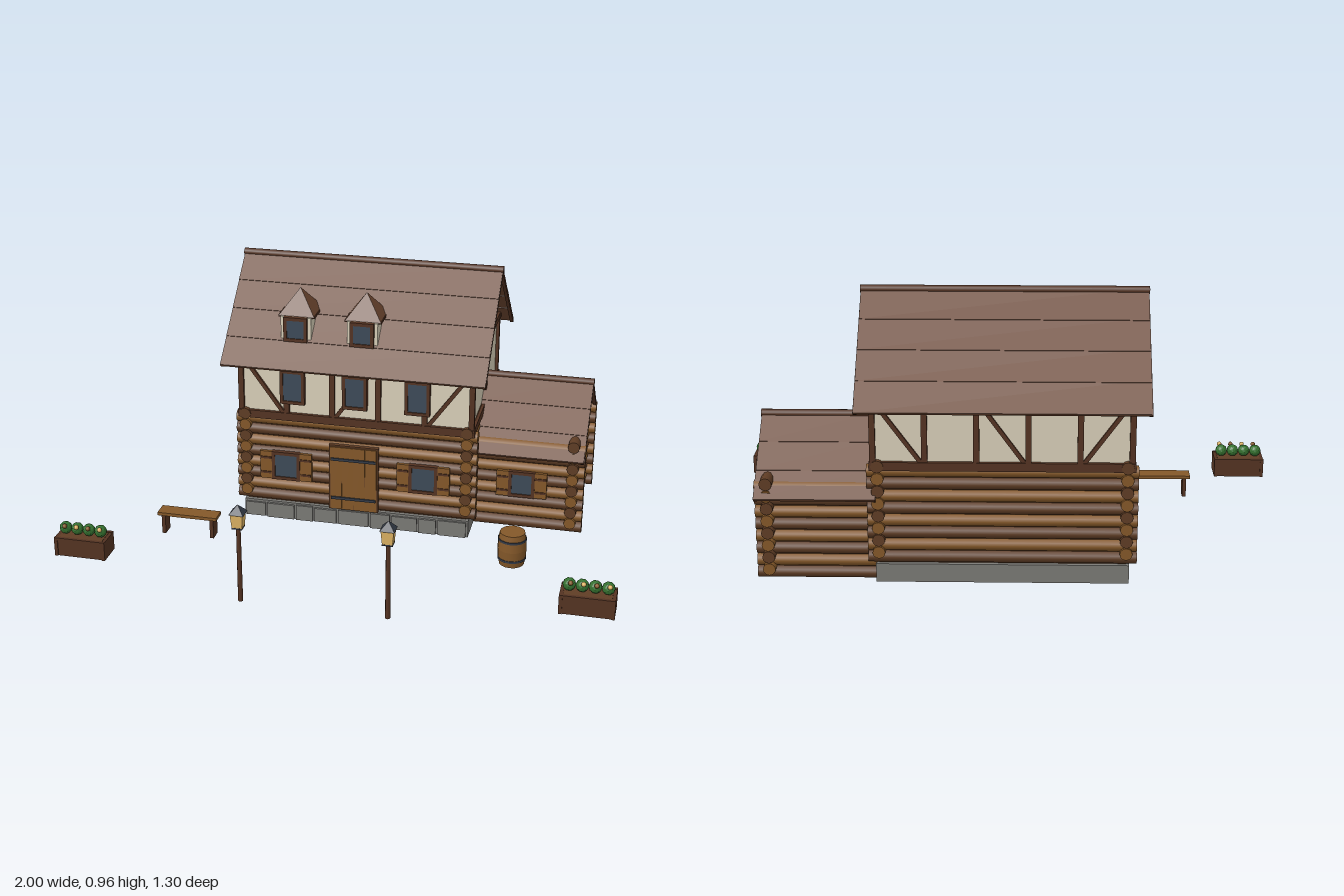
import * as THREE from 'three';

const mat = (name, color, extra = {}) => Object.assign(new THREE.MeshStandardMaterial({ color, ...extra }), { name });
const roofWood = mat('roofWood', 0x6b452f);
const timber = mat('timber', 0x543322);
const logWood = mat('logWood', 0x845829);
const darkLog = mat('darkLog', 0x5f3d25);
const plaster = mat('plaster', 0xd9d0b9);
const stone = mat('stone', 0x7b7a76);
const glass = mat('glass', 0x3d4a58);
const iron = mat('iron', 0x333a46);
const lampGlow = mat('lampGlow', 0xe0b565);
const leaf = mat('leaf', 0x34702f, { flatShading: true });

function add(parent, name, geo, material, x = 0, y = 0, z = 0) {
  const m = new THREE.Mesh(geo, material);
  m.name = name;
  m.position.set(x, y, z);
  parent.add(m);
  return m;
}
const box = (p, name, material, w, h, d, x, y, z) =>
  add(p, name, new THREE.BoxGeometry(w, h, d), material, x, y, z);
const cyl = (p, name, material, rTop, rBot, h, x, y, z, sides = 12) =>
  add(p, name, new THREE.CylinderGeometry(rTop, rBot, h, sides), material, x, y, z);
function group(parent, name, x = 0, y = 0, z = 0) {
  const g = new THREE.Group();
  g.name = name;
  g.position.set(x, y, z);
  parent.add(g);
  return g;
}

// Stacked log walls: lengthwise logs, with crosswise logs half a step higher
function logWalls(parent, o) {
  const g = group(parent, 'logWalls');
  for (let i = 0; i < o.rows; i++) {
    const y = o.y + i * o.step, m = i % 2 ? logWood : darkLog, m2 = i % 2 ? darkLog : logWood;
    for (const z of o.zs)
      cyl(g, 'longLog', m, o.r, o.r, o.x1 - o.x0, (o.x0 + o.x1) / 2, y, z).rotation.z = Math.PI / 2;
    for (const x of o.xs)
      cyl(g, 'crossLog', m2, o.r, o.r, o.z1 - o.z0, x, y + o.step / 2, (o.z0 + o.z1) / 2).rotation.x = Math.PI / 2;
  }
}

// Pitched roof of overlapping board courses with a round ridge beam
function roof(parent, name, x0, x1, zc, ridgeY, half, drop, courses) {
  const g = group(parent, name), a = Math.atan2(drop, half), L = Math.hypot(half, drop);
  const w = x1 - x0, xc = (x0 + x1) / 2;
  for (const s of [1, -1]) {
    for (let i = 0; i < courses; i++) {
      const t = (i + 0.5) / courses;
      const b = box(g, 'roofCourse', roofWood, w, 0.012, L / courses + 0.012, xc, ridgeY - drop * t, zc + s * half * t);
      b.rotation.x = s * (a - 0.025);
    }
    // Barge boards along the gable edges
    for (const x of [x0 + 0.005, x1 - 0.005]) {
      const e = box(g, 'bargeBoard', timber, 0.012, 0.014, L, x, ridgeY - drop / 2 - 0.006, zc + s * half / 2);
      e.rotation.x = s * a;
    }
  }
  cyl(g, 'ridgeBeam', timber, 0.014, 0.014, w + 0.006, xc, ridgeY, zc).rotation.z = Math.PI / 2;
}

// Triangular prism that fills the space below a roof
function gable(parent, material, x0, x1, zc, y0, half, h) {
  const s = new THREE.Shape([new THREE.Vector2(-half, 0), new THREE.Vector2(half, 0), new THREE.Vector2(0, h)]);
  const geo = new THREE.ExtrudeGeometry(s, { depth: x1 - x0, bevelEnabled: false }).rotateY(Math.PI / 2);
  add(parent, 'gable', geo, material, x0, y0, zc);
}

// Framed window facing the front, with optional open shutters
function windowUnit(parent, x, y, z, w, h, shutters) {
  const g = group(parent, 'window', x, y, z);
  box(g, 'pane', glass, w, h, 0.008, 0, 0, 0.004);
  for (const s of [-1, 1]) {
    box(g, 'frameSide', timber, 0.012, h + 0.012, 0.018, s * w / 2, 0, 0.003);
    box(g, 'frameRail', timber, w + 0.012, 0.012, 0.018, 0, s * h / 2, 0.003);
    if (shutters) {
      box(g, 'shutter', logWood, 0.045, h + 0.01, 0.012, s * (w / 2 + 0.028), 0, 0.004);
      for (const t of [-0.3, 0.3]) box(g, 'shutterBar', timber, 0.04, 0.008, 0.004, s * (w / 2 + 0.028), t * h, 0.011);
    }
  }
}

function timberStorey(house) {
  const g = group(house, 'upperStorey');
  box(g, 'plasterWalls', plaster, 0.85, 0.25, 0.575, 0, 0.54, -0.2925);
  gable(g, plaster, -0.425, 0.425, -0.2925, 0.66, 0.295, 0.272);
  for (const z of [-0.003, -0.582]) {
    box(g, 'sillBeam', timber, 0.88, 0.03, 0.022, 0, 0.42, z);
    box(g, 'topBeam', timber, 0.88, 0.022, 0.02, 0, 0.664, z);
    for (let i = 0; i < 6; i++) box(g, 'post', timber, 0.02, 0.23, 0.018, -0.427 + i * 0.1708, 0.54, z);
    // Diagonal braces in alternate bays
    [1, -1, -1].forEach((s, i) => {
      const b = box(g, 'brace', timber, 0.014, 0.255, 0.014, (i - 1) * 0.3416, 0.535, z);
      b.rotation.z = s * 0.62;
    });
  }
  for (const x of [-0.427, 0.427]) {
    box(g, 'sideSill', timber, 0.022, 0.03, 0.59, x, 0.42, -0.2925);
    box(g, 'sideTopBeam', timber, 0.02, 0.022, 0.59, x, 0.664, -0.2925);
    box(g, 'sidePost', timber, 0.018, 0.23, 0.02, x, 0.54, -0.2925);
  }
  for (const x of [-0.232, 0, 0.23]) windowUnit(g, x, 0.54, 0.002, 0.08, 0.12, false);
}

function dormer(house, x) {
  const g = group(house, 'dormer', x, 0, 0);
  box(g, 'dormerWalls', plaster, 0.112, 0.1, 0.1, 0, 0.748, -0.078);
  windowUnit(g, 0, 0.753, -0.027, 0.075, 0.08, false);
  const cap = new THREE.ConeGeometry(0.094, 0.09, 4, 1).rotateY(Math.PI / 4).toNonIndexed();
  cap.computeVertexNormals();
  add(g, 'dormerRoof', cap, roofWood, 0, 0.842, -0.103);
  box(g, 'dormerEave', timber, 0.134, 0.008, 0.128, 0, 0.796, -0.103);
}

function door(house) {
  const g = group(house, 'door');
  for (let i = 0; i < 4; i++) box(g, 'doorPlank', logWood, 0.0425, 0.25, 0.016, -0.0675 + i * 0.0435 - 0.002, 0.195, 0.006);
  box(g, 'doorBacking', darkLog, 0.185, 0.26, 0.016, -0.004, 0.196, 0.002);
  for (const y of [0.115, 0.272]) box(g, 'hingeBand', iron, 0.168, 0.01, 0.006, -0.004, y, 0.016);
}

function foundation(house) {
  const g = group(house, 'foundation');
  box(g, 'base', stone, 0.85, 0.066, 0.585, 0, 0.033, -0.2925);
  const widths = [0.08, 0.11, 0.07, 0.09, 0.12, 0.08, 0.1, 0.07, 0.11];
  let x = -0.422;
  widths.forEach((w, i) => {
    box(g, 'stoneBlock', stone, w - 0.006, 0.054 + (i % 3) * 0.003, 0.012 + (i % 2) * 0.004, x + w / 2, 0.03, 0.001);
    x += w + 0.0015;
  });
}

function planter(root, x) {
  const g = group(root, 'planter', x, 0, 0.422);
  box(g, 'planterBox', timber, 0.18, 0.068, 0.088, 0, 0.034, 0);
  for (const s of [-1, 1]) {
    box(g, 'planterRim', timber, 0.19, 0.01, 0.012, 0, 0.067, s * 0.042);
    box(g, 'planterEnd', timber, 0.012, 0.07, 0.096, s * 0.089, 0.035, 0);
  }
  box(g, 'soil', darkLog, 0.165, 0.006, 0.07, 0, 0.068, 0);
  for (let i = 0; i < 4; i++) {
    const px = -0.066 + i * 0.044;
    add(g, 'plant', new THREE.IcosahedronGeometry(0.023, 1), leaf, px, 0.093, 0);
    add(g, 'flower', new THREE.SphereGeometry(0.009, 8, 6), i % 2 ? lampGlow : logWood, px + 0.006, 0.11, 0.024);
  }
}

function lampPost(root, x) {
  const g = group(root, 'lampPost', x, 0, 0.625);
  cyl(g, 'pole', timber, 0.008, 0.009, 0.285, 0, 0.1425, 0, 8);
  const square = (n, m, a, b, h, y) => {
    const geo = new THREE.CylinderGeometry(a, b, h, 4).rotateY(Math.PI / 4).toNonIndexed();
    geo.computeVertexNormals();
    add(g, n, geo, m, 0, y, 0);
  };
  square('lantern', lampGlow, 0.031, 0.025, 0.052, 0.311);
  square('lanternBase', iron, 0.026, 0.026, 0.005, 0.284);
  square('lanternCap', iron, 0.001, 0.036, 0.03, 0.351);
}

function bench(root) {
  const g = group(root, 'bench', -0.582, 0, 0.194);
  box(g, 'seat', logWood, 0.225, 0.012, 0.06, 0, 0.08, 0);
  for (const s of [-1, 1]) box(g, 'benchLeg', timber, 0.014, 0.074, 0.048, s * 0.092, 0.037, 0);
}

function barrel(root) {
  const g = group(root, 'barrel', 0.608, 0, 0.15);
  const p = [[0, 0], [0.045, 0], [0.05, 0.03], [0.052, 0.062], [0.05, 0.095], [0.045, 0.124], [0, 0.124]];
  for (let i = 0; i + 1 < p.length; i++) {
    const pts = [p[i], p[i + 1]].map(([a, b]) => new THREE.Vector2(a, b));
    add(g, 'staves', new THREE.LatheGeometry(pts, 16), logWood);
  }
  for (const y of [0.025, 0.099]) cyl(g, 'hoop', iron, 0.0515, 0.0515, 0.008, 0, y, 0, 16);
}

export function createModel() {
  const root = new THREE.Group();
  root.name = 'logHouseScene';

  // Main house
  const house = group(root, 'house');
  foundation(house);
  box(house, 'wallCore', darkLog, 0.83, 0.345, 0.555, 0, 0.238, -0.2925);
  logWalls(house, { rows: 8, y: 0.09, step: 0.044, r: 0.0215, x0: -0.45, x1: 0.45, zs: [-0.02, -0.567], xs: [-0.413, 0.413], z0: -0.597, z1: 0.012 });
  timberStorey(house);
  door(house);
  for (const x of [-0.26, 0.256]) windowUnit(house, x, 0.222, 0.004, 0.095, 0.1, true);
  roof(house, 'mainRoof', -0.485, 0.48, -0.2925, 0.943, 0.35, 0.315, 4);
  for (const x of [-0.225, 0.02]) dormer(house, x);

  // Side annex
  const annex = group(root, 'annex');
  box(annex, 'annexCore', darkLog, 0.36, 0.345, 0.42, 0.605, 0.1775, -0.344);
  logWalls(annex, { rows: 8, y: 0.022, step: 0.044, r: 0.0215, x0: 0.42, x1: 0.828, zs: [-0.137, -0.55], xs: [0.785], z0: -0.592, z1: -0.105 });
  gable(annex, logWood, 0.43, 0.797, -0.345, 0.325, 0.22, 0.182);
  roof(annex, 'annexRoof', 0.42, 0.825, -0.345, 0.516, 0.256, 0.21, 3);
  windowUnit(annex, 0.602, 0.185, -0.114, 0.085, 0.09, true);

  // Yard furniture
  for (const s of [-1, 1]) {
    planter(root, s * 0.905);
    lampPost(root, s * 0.257);
  }
  bench(root);
  barrel(root);
  return root;
}
